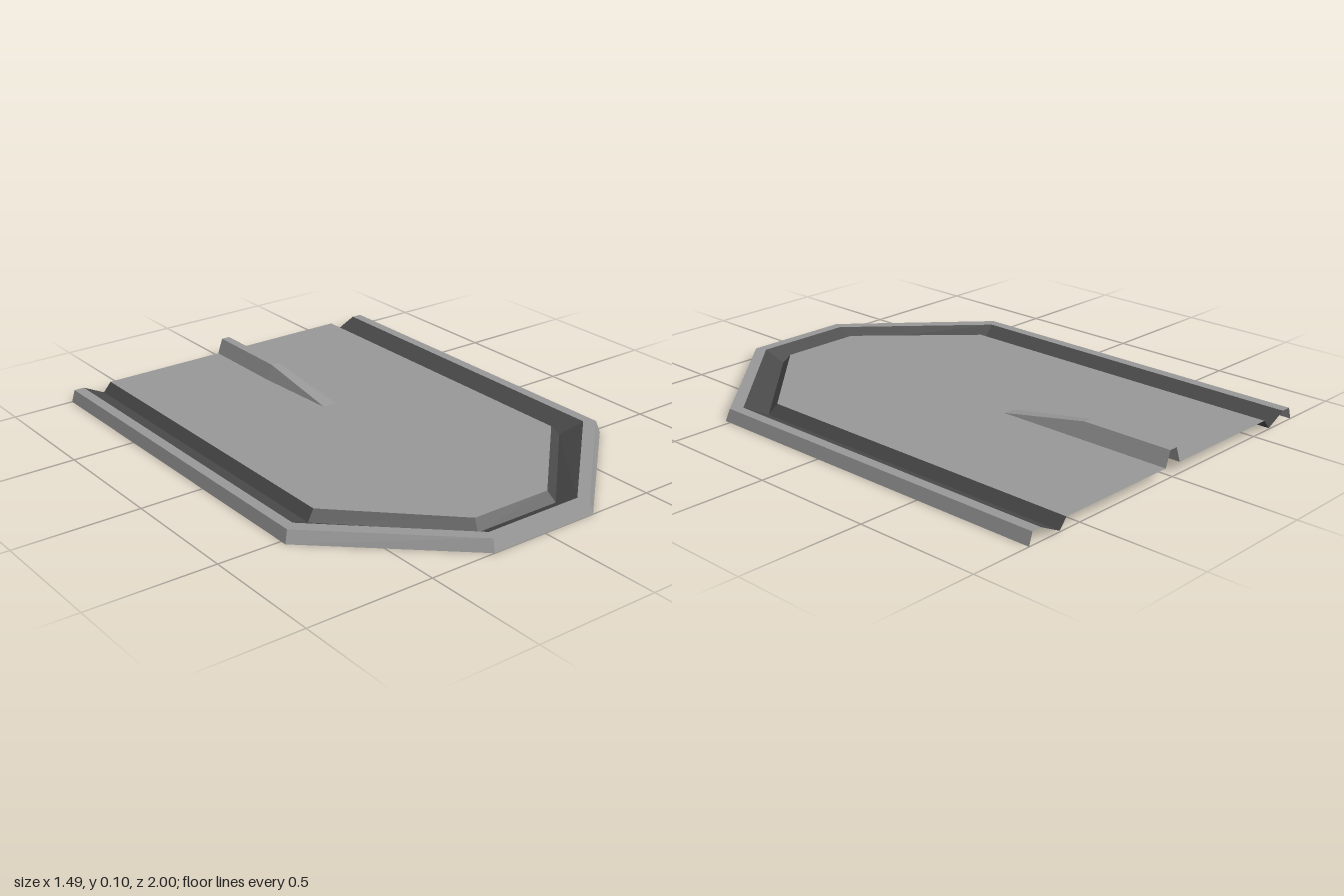
import * as THREE from 'three';

const lightGrey = new THREE.MeshStandardMaterial({ color: 0x999999, side: THREE.DoubleSide });
lightGrey.name = 'lightGrey';
const darkGrey = new THREE.MeshStandardMaterial({ color: 0x4a4a4a, side: THREE.DoubleSide });
darkGrey.name = 'darkGrey';

const BACK = -1;
const FLOOR_Y = 0.043;

// Half-octagon path, open at the back: side x, corner z, nose x, nose z, height
function ring(sideX, cornerZ, noseX, noseZ, y) {
  const half = [[sideX, BACK], [sideX, cornerZ], [noseX, noseZ]];
  const mirrored = half.map(([x, z]) => [-x, z]).reverse();
  return [...half, ...mirrored].map(([x, z]) => new THREE.Vector3(x, y, z));
}

// Faceted strip of quads joining two paths of equal length
function strip(name, a, b, material) {
  const points = [];
  for (let i = 0; i < a.length - 1; i++) {
    points.push(a[i], b[i], a[i + 1], b[i], b[i + 1], a[i + 1]);
  }
  const geometry = new THREE.BufferGeometry().setFromPoints(points);
  geometry.computeVertexNormals();
  const mesh = new THREE.Mesh(geometry, material);
  mesh.name = name;
  return mesh;
}

export function createModel() {
  const model = new THREE.Group();
  model.name = 'panel';

  // Raised border with a sunken groove inside it
  const outerFoot = ring(0.747, 0.525, 0.23, 1.0, 0);
  const rimOuter = ring(0.732, 0.515, 0.225, 0.985, 0.048);
  const rimInner = ring(0.69, 0.487, 0.207, 0.942, 0.048);
  const groove = ring(0.6, 0.45, 0.183, 0.862, 0.004);
  const floorEdge = ring(0.567, 0.437, 0.17, 0.83, FLOOR_Y);
  model.add(
    strip('outerSlope', outerFoot, rimOuter, lightGrey),
    strip('rim', rimOuter, rimInner, lightGrey),
    strip('grooveOuterSlope', rimInner, groove, darkGrey),
    strip('grooveInnerSlope', groove, floorEdge, darkGrey),
  );

  // Floor with a slot under the hollow fin
  const slotX = 0.04, slotZ = -0.25;
  const outline = floorEdge.map((p) => new THREE.Vector2(p.x, -p.z));
  outline.push(
    new THREE.Vector2(-slotX, -BACK), new THREE.Vector2(-slotX, -slotZ),
    new THREE.Vector2(slotX, -slotZ), new THREE.Vector2(slotX, -BACK),
  );
  const floor = new THREE.Mesh(new THREE.ShapeGeometry(new THREE.Shape(outline)), lightGrey);
  floor.name = 'floor';
  floor.rotation.x = -Math.PI / 2;
  floor.position.y = FLOOR_Y;
  model.add(floor);

  // Hollow fin, open at the back, ramping down to the floor
  const finLine = (x, heights) =>
    [BACK, -0.62, slotZ].map((z, i) => new THREE.Vector3(x, heights[i], z));
  const base = [FLOOR_Y, FLOOR_Y, FLOOR_Y];
  const crest = [0.105, 0.105, 0.041];
  const lines = [
    finLine(slotX, base), finLine(0.018, crest),
    finLine(-0.018, crest), finLine(-slotX, base),
  ];
  const fin = new THREE.Group();
  fin.name = 'fin';
  ['finLeftSide', 'finTop', 'finRightSide'].forEach((name, i) => {
    fin.add(strip(name, lines[i], lines[i + 1], lightGrey));
  });
  model.add(fin);

  return model;
}
